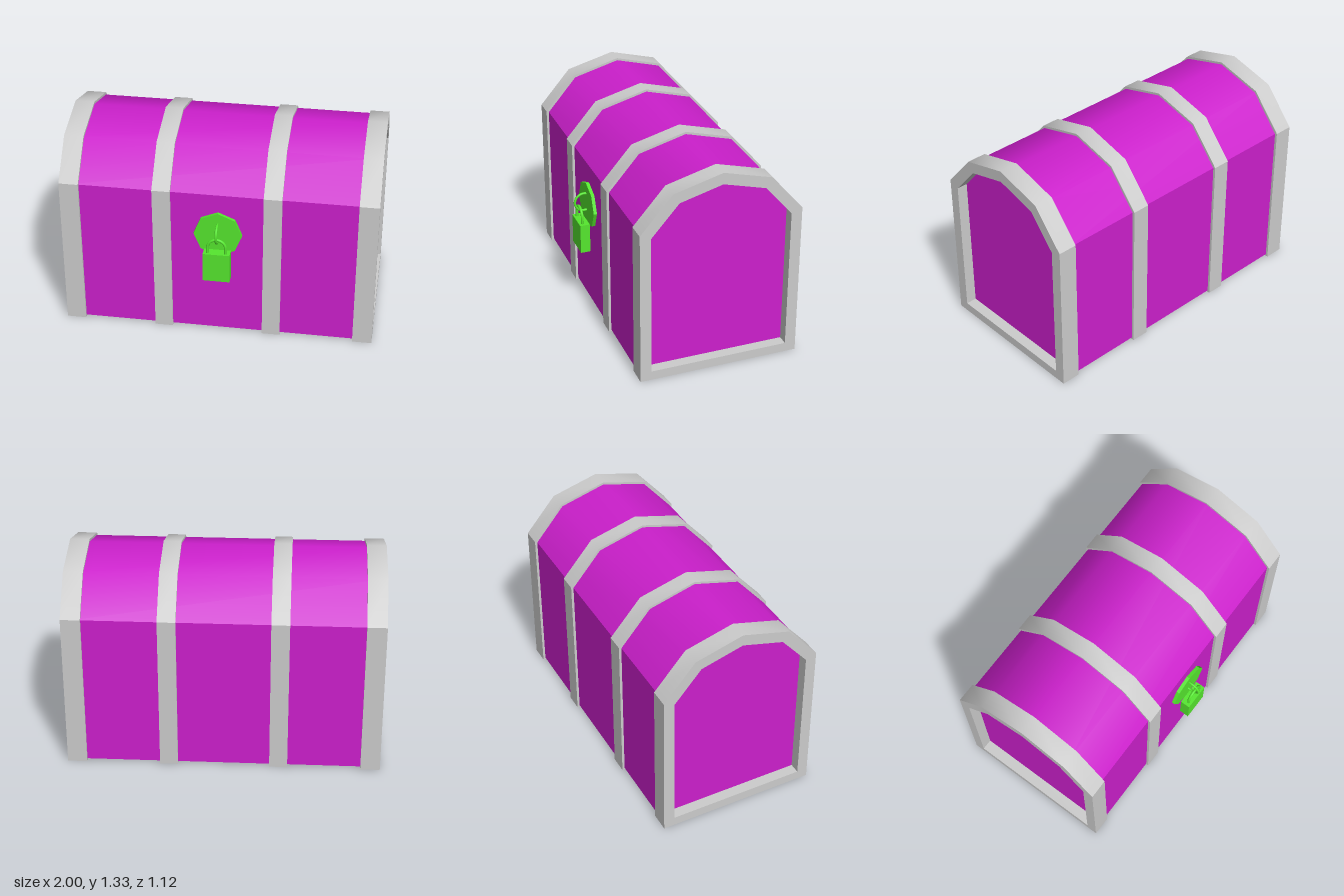
import * as THREE from 'three';
import { toCreasedNormals } from 'three/addons/utils/BufferGeometryUtils.js';

const ironMat = new THREE.MeshStandardMaterial({ color: 0xcccccc });
const panelMat = new THREE.MeshStandardMaterial({ color: 0xcc1fcc });
const lockMat = new THREE.MeshStandardMaterial({ color: 0x55e62e });

const MID_Z = -0.045; // the chest sits slightly behind centre, the padlock in front
const LOCK_X = 0.005;

// Barrel-topped cross-section: half width, floor, wall top, shoulder and ridge
function section(Type, halfWidth, floor, wallTop, shoulderX, shoulderY, ridge) {
  return new Type([
    [-halfWidth, floor], [halfWidth, floor], [halfWidth, wallTop], [shoulderX, shoulderY],
    [0, ridge], [-shoulderX, shoulderY], [-halfWidth, wallTop],
  ].map(([x, y]) => new THREE.Vector2(x, y)));
}
const outerSection = () => section(THREE.Shape, 0.516, 0, 1.01, 0.312, 1.246, 1.33);
const bodySection = (Type) => section(Type, 0.5, 0.012, 1.003, 0.304, 1.232, 1.315);
const openingSection = () => section(THREE.Path, 0.446, 0.06, 0.982, 0.272, 1.182, 1.256);

// Extrude a cross-section along x; the lid is smooth, the wall corners stay sharp
function alongX(shape, x0, x1) {
  const geo = new THREE.ExtrudeGeometry(shape, { depth: x1 - x0, bevelEnabled: false });
  geo.rotateY(Math.PI / 2).translate(x0, 0, MID_Z);
  return toCreasedNormals(geo, THREE.MathUtils.degToRad(38));
}

function add(parent, name, geometry, material) {
  const mesh = new THREE.Mesh(geometry, material);
  mesh.name = name;
  parent.add(mesh);
  return mesh;
}

function buildPadlock() {
  const lock = new THREE.Group();
  lock.name = 'lock';

  // Octagonal plate on the front wall
  const plate = new THREE.CylinderGeometry(0.153, 0.153, 0.03, 8).toNonIndexed();
  plate.rotateX(Math.PI / 2);
  plate.computeVertexNormals();
  add(lock, 'lockPlate', plate, lockMat).position.set(LOCK_X, 0.73, 0.462);

  // Ring standing out of the plate
  const ring = new THREE.TorusGeometry(0.06, 0.008, 12, 40).rotateY(Math.PI / 2);
  add(lock, 'lockRing', ring, lockMat).position.set(LOCK_X, 0.75, 0.493);

  // Padlock case
  add(lock, 'padlockCase', new THREE.BoxGeometry(0.17, 0.197, 0.064), lockMat)
    .position.set(LOCK_X, 0.527, 0.515);

  // Shackle: two straight legs joined by a half circle
  const r = 0.057, top = 0.664;
  const points = [new THREE.Vector3(-r, 0.6, 0)];
  for (let i = 0; i <= 16; i++) {
    const a = Math.PI * (1 - i / 16);
    points.push(new THREE.Vector3(r * Math.cos(a), top + r * Math.sin(a), 0));
  }
  points.push(new THREE.Vector3(r, 0.6, 0));
  const shackle = new THREE.TubeGeometry(new THREE.CatmullRomCurve3(points), 48, 0.009, 12);
  add(lock, 'padlockShackle', shackle, lockMat).position.set(LOCK_X, 0, 0.524);
  return lock;
}

export function createModel() {
  const chest = new THREE.Group();
  chest.name = 'chest';

  // Body with its lid, ending in the recessed side panels
  add(chest, 'body', alongX(bodySection(THREE.Shape), -0.93, 0.93), panelMat);

  // Deep frames round both ends
  for (const [name, x0, x1] of [['rightEndFrame', -1, -0.876], ['leftEndFrame', 0.876, 1]]) {
    const shape = outerSection();
    shape.holes.push(openingSection());
    add(chest, name, alongX(shape, x0, x1), ironMat);
  }

  // Thin bands round the middle
  for (const [name, x0, x1] of [['rightBand', -0.41, -0.295], ['leftBand', 0.29, 0.405]]) {
    const shape = outerSection();
    shape.holes.push(bodySection(THREE.Path));
    add(chest, name, alongX(shape, x0, x1), ironMat);
  }

  chest.add(buildPadlock());
  return chest;
}
